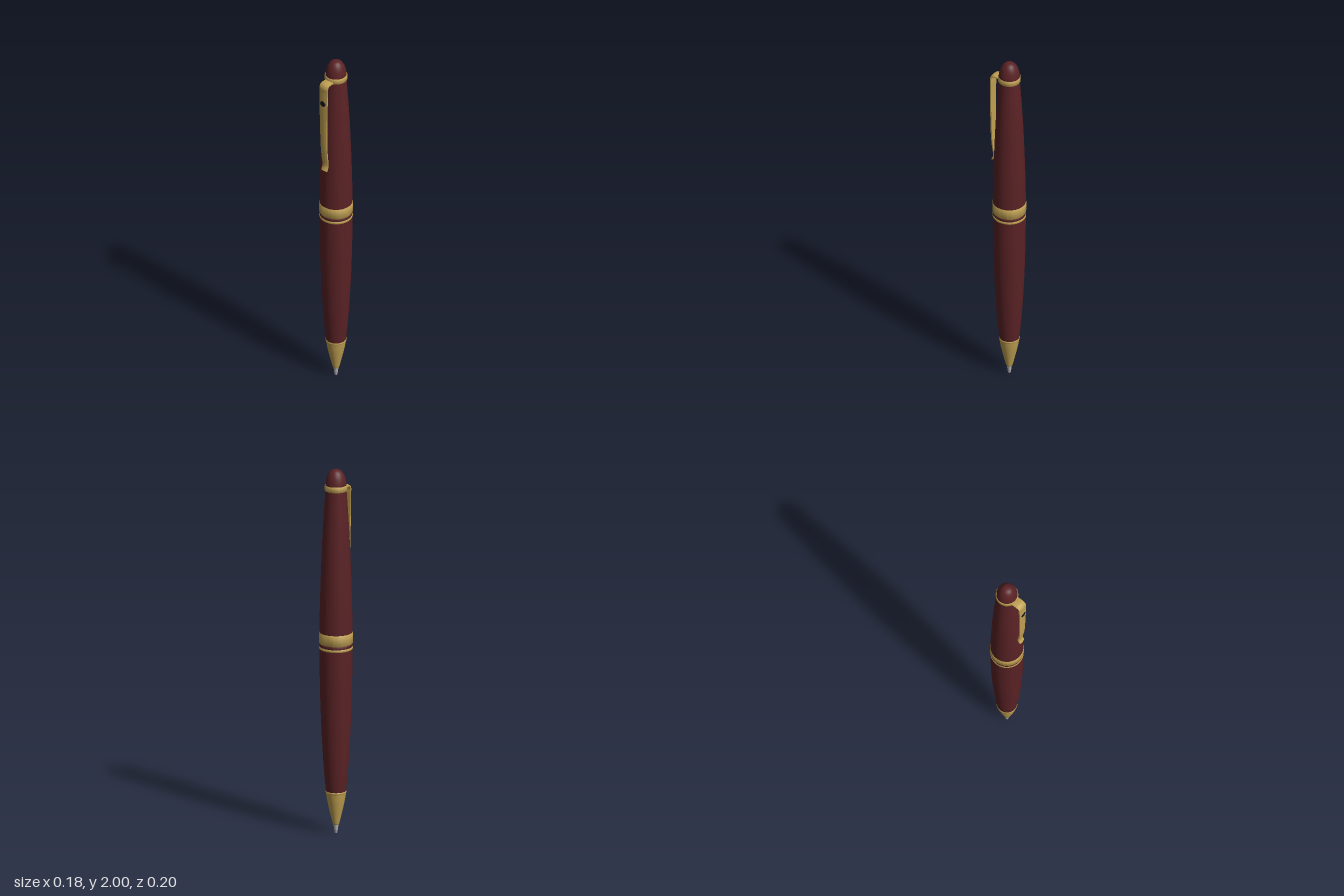
import * as THREE from 'three';
import { toCreasedNormals } from 'three/addons/utils/BufferGeometryUtils.js';

const AXIS_Z = -0.011; // the body sits slightly back, balancing the clip

const mat = (name, color) => {
  const m = new THREE.MeshStandardMaterial({ color });
  m.name = name;
  return m;
};

// Turned part from [radius, height] points; smooth runs are splined.
function turned(name, points, material, smooth = false) {
  let pts = points.map(([r, y]) => new THREE.Vector2(r, y));
  if (smooth) pts = new THREE.SplineCurve(pts).getPoints(24);
  pts.forEach((p) => { p.x = Math.max(p.x, 0); });
  const geo = new THREE.LatheGeometry(pts, 64);
  const mesh = new THREE.Mesh(smooth ? geo : toCreasedNormals(geo, 0.6), material);
  mesh.name = name;
  return mesh;
}

// Ring with slightly bevelled edges.
const band = (name, r, inner, y0, y1, material) => turned(name, [
  [inner, y0], [r - 0.002, y0], [r, y0 + 0.003], [r, y1 - 0.003], [r - 0.002, y1], [inner, y1],
], material);

// Spring clip: a tapering strip with a crowned outer face, swept down a side-on path.
function clipGeometry() {
  const path = new THREE.CatmullRomCurve3([
    [1.893, 0.03], [1.894, 0.06], [1.892, 0.08], [1.878, 0.091], [1.85, 0.091], [1.78, 0.093],
    [1.65, 0.092], [1.5, 0.089], [1.43, 0.083], [1.39, 0.077], [1.37, 0.079], [1.35, 0.088],
  ].map(([y, z]) => new THREE.Vector3(0, y, z)), false, 'centripetal');
  // Section as [fraction of half width, offset along the outward normal]
  const section = [[-1, -0.005], [-1, 0.002], [-0.6, 0.0045], [0, 0.006],
    [0.6, 0.0045], [1, 0.002], [1, -0.005]];
  const n = section.length, steps = 72, pos = [], idx = [];
  for (let i = 0; i <= steps; i++) {
    const p = path.getPointAt(i / steps);
    const t = path.getTangentAt(i / steps);
    const half = THREE.MathUtils.lerp(0.018, 0.027, THREE.MathUtils.clamp((p.y - 1.37) / 0.5, 0, 1));
    for (const [u, d] of section) pos.push(u * half, p.y + t.z * d, p.z - t.y * d);
    if (i === steps) break;
    for (let j = 0; j < n; j++) {
      const a = i * n + j, b = i * n + (j + 1) % n;
      idx.push(a, a + n, b, b, a + n, b + n);
    }
  }
  const end = steps * n;
  for (let j = 1; j < n - 1; j++) {
    idx.push(0, j, j + 1);
    idx.push(end, end + j + 1, end + j);
  }
  const geo = new THREE.BufferGeometry();
  geo.setAttribute('position', new THREE.Float32BufferAttribute(pos, 3));
  geo.setIndex(idx);
  return toCreasedNormals(geo, 0.6);
}

export function createModel() {
  const burgundy = mat('burgundy resin', 0x5a2225);
  const gold = mat('gold', 0xc0a052);
  const silver = mat('silver', 0xb4b4b8);
  const black = mat('dark inlay', 0x14161c);

  const model = new THREE.Group();
  model.name = 'pen';
  const body = new THREE.Group();
  body.name = 'body';
  body.position.z = AXIS_Z;
  model.add(body);

  body.add(
    // Writing end
    turned('writingTip', [[0, 0], [0.005, 0.002], [0.008, 0.008], [0.011, 0.03], [0.014, 0.055], [0, 0.055]], silver),
    turned('noseCone', [[0.013, 0.052], [0.017, 0.054], [0.027, 0.095], [0.038, 0.142], [0.047, 0.185], [0.0535, 0.225]], gold, true),
    band('noseRing', 0.055, 0.04, 0.224, 0.236, gold),
    // Lower barrel
    turned('lowerBarrel', [[0.053, 0.234], [0.062, 0.33], [0.072, 0.48], [0.08, 0.65], [0.085, 0.83], [0.087, 1.02]], burgundy, true),
    // Centre bands
    band('thinBand', 0.0885, 0.07, 1.015, 1.03, gold),
    band('bandSpacer', 0.0865, 0.07, 1.028, 1.049, burgundy),
    band('wideBand', 0.089, 0.07, 1.047, 1.108, gold),
    // Upper barrel
    turned('upperBarrel', [[0.087, 1.105], [0.085, 1.25], [0.08, 1.42], [0.073, 1.6], [0.064, 1.76], [0.0555, 1.886]], burgundy, true),
    // Cap ring and dome
    band('capRing', 0.0595, 0.04, 1.884, 1.915, gold),
    turned('capDome', [[0.0565, 1.913], [0.0535, 1.935], [0.046, 1.962], [0.034, 1.984], [0.018, 1.997], [0, 2]], burgundy, true),
  );

  // Clip with a round dark inlay
  const clip = new THREE.Group();
  clip.name = 'clip';
  const strip = new THREE.Mesh(clipGeometry(), gold);
  strip.name = 'clipStrip';
  const inlay = new THREE.Mesh(new THREE.CylinderGeometry(0.016, 0.017, 0.006, 24), black);
  inlay.name = 'clipInlay';
  inlay.rotation.x = Math.PI / 2;
  inlay.position.set(0, 1.78, 0.0975);
  clip.add(strip, inlay);
  model.add(clip);
  return model;
}
